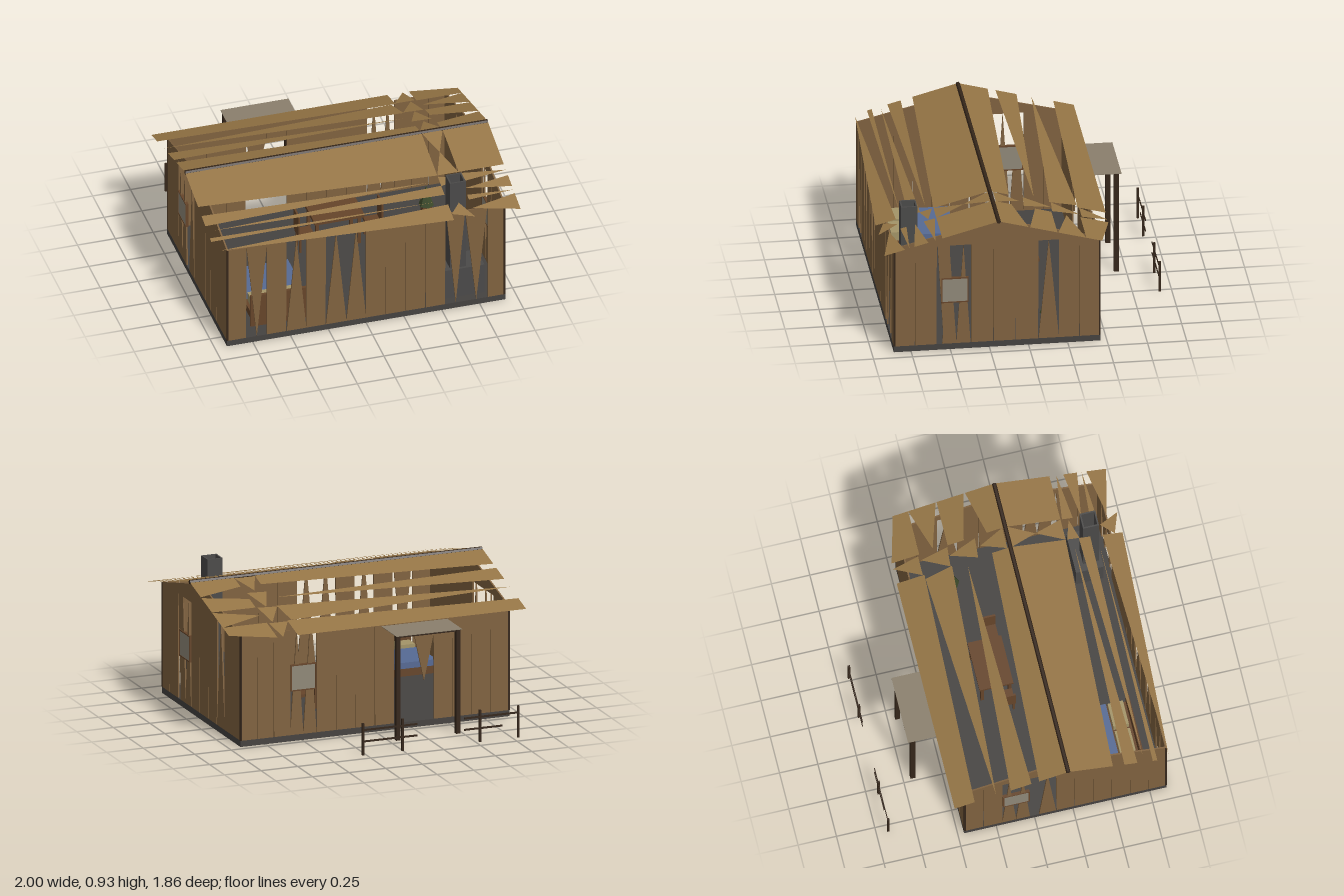
import * as THREE from 'three';

const mat = (color) => new THREE.MeshStandardMaterial({ color, side: THREE.DoubleSide, flatShading: true });
const M = {
  wall: mat(0x80623f), roof: mat(0x957545), dark: mat(0x35261a), stone: mat(0x4b4a49),
  floor: mat(0x454240), glass: mat(0x8f8878), canopy: mat(0x8a7f6c), blue: mat(0x566a94),
  wood: mat(0x66452a), linen: mat(0xa39468), leaf: mat(0x3c4a2a),
};

export function createModel() {
  const root = new THREE.Group();
  const add = (geo, m, name, parent = root) => {
    const mesh = new THREE.Mesh(geo, m);
    mesh.name = name;
    parent.add(mesh);
    return mesh;
  };
  const group = (name) => {
    const g = new THREE.Group();
    g.name = name;
    root.add(g);
    return g;
  };
  // Box given by its limits on each axis
  const box = (name, m, [x0, x1], [y0, y1], [z0, z1], parent) => {
    const g = new THREE.BoxGeometry(x1 - x0, y1 - y0, z1 - z0);
    g.translate((x0 + x1) / 2, (y0 + y1) / 2, (z0 + z1) / 2);
    return add(g, m, name, parent);
  };
  const BASE = 0.04, TOP = 0.73;

  box('foundation', M.floor, [-0.92, 0.92], [0, BASE], [-0.46, 0.86]);

  // Walls: runs of upright boards, with worn boards tapering up or down
  const flat = (pts) => {
    const s = new THREE.Shape(pts.map((p) => new THREE.Vector2(...p)));
    return new THREE.ExtrudeGeometry(s, { depth: 0.01, bevelEnabled: false });
  };
  const buildWall = (name, parts) => {
    const g = group(name);
    for (const [kind, a, b, y0 = BASE, y1 = TOP] of parts) {
      const mid = (a + b) / 2;
      if (kind === 'up') add(flat([[a, y0], [b, y0], [mid, y1]]), M.wall, 'taperedBoard', g);
      else if (kind === 'down') add(flat([[mid, y0], [b, y1], [a, y1]]), M.wall, 'taperedBoard', g);
      else {
        const n = Math.max(1, Math.round((b - a) / 0.13));
        for (let i = 0; i < n; i++) {
          const l = a + ((b - a) * i) / n, r = a + ((b - a) * (i + 1)) / n;
          add(flat([[l, y0], [r - 0.004, y0], [r, y1], [l, y1]]), M.wall, 'board', g);
        }
      }
    }
    return g;
  };
  buildWall('frontWall', [
    ['run', -0.92, -0.79], ['down', -0.79, -0.655], ['run', -0.655, -0.525], ['up', -0.525, -0.395],
    ['run', -0.395, -0.265], ['up', -0.265, -0.13], ['up', -0.13, 0], ['run', 0, 0.525],
    ['down', 0.53, 0.655], ['down', 0.655, 0.8], ['run', 0.805, 0.92],
  ]).position.z = 0.85;
  buildWall('backWall', [
    ['run', -0.92, -0.4], ['run', -0.4, -0.13, 0.6, TOP], ['down', -0.4, -0.27, 0.3, 0.6],
    ['run', -0.13, 0.4], ['up', 0.4, 0.49], ['up', 0.49, 0.58], ['run', 0.58, 0.92],
  ]).position.z = -0.46;

  // Gable walls are laid out along -z, then turned to face sideways
  const gable = [[-0.86, TOP], [0.46, TOP], [-0.2, 0.895]];
  for (const side of [1, -1]) {
    const g = buildWall(side > 0 ? 'leftGableWall' : 'rightGableWall', side > 0 ? [
      ['run', -0.86, -0.585], ['down', -0.58, -0.5], ['up', -0.55, -0.46], ['up', -0.46, -0.37],
      ['run', -0.365, 0.065], ['up', 0.065, 0.195], ['run', 0.195, 0.46],
    ] : [
      ['run', -0.86, -0.14], ['up', -0.14, -0.03], ['up', 0.03, 0.12], ['up', 0.12, 0.21], ['run', 0.21, 0.46],
    ]);
    add(flat(gable), M.wall, 'gablePeak', g);
    g.rotation.y = Math.PI / 2;
    g.position.x = side > 0 ? 0.91 : -0.92;
  }
  for (const x of [-0.915, 0.915]) for (const z of [-0.455, 0.855])
    box('cornerPost', M.dark, [x - 0.006, x + 0.006], [BASE, TOP], [z - 0.006, z + 0.006]);

  // Windows: a pane with a thin dark frame, centred at the wall
  const addWindow = (x, z, turn) => {
    const g = group('window');
    box('pane', M.glass, [-0.08, 0.08], [-0.08, 0.08], [-0.008, 0.008], g);
    for (const s of [-1, 1]) {
      box('frameRail', M.wood, [-0.085, 0.085], [s * 0.083 - 0.004, s * 0.083 + 0.004], [-0.01, 0.01], g);
      box('frameStile', M.wood, [s * 0.083 - 0.004, s * 0.083 + 0.004], [-0.085, 0.085], [-0.01, 0.01], g);
    }
    g.position.set(x, 0.415, z);
    g.rotation.y = turn;
  };
  addWindow(0.915, 0.47, Math.PI / 2);
  addWindow(-0.915, -0.12, Math.PI / 2);
  addWindow(0.49, -0.455, 0);

  // Roof: broken planks as (x, z) outlines laid on the two slopes
  const roof = group('roof');
  const roofY = (z) => 0.92 - 0.27 * Math.abs(z - 0.2);
  const planks = [
    [-1, -0.54, 0.56, -0.54, 0.56, -0.36, -1, -0.41],
    [-1, -0.27, 0.53, -0.36, 0.56, -0.18],
    [-1, -0.175, 0.53, -0.085, -1, -0.04],
    [-1, 0.01, 0.56, 0.08, 0.56, 0.19, -1, 0.19],
    [-1, 0.21, 0.56, 0.21, 0.56, 0.56, -1, 0.49],
    [-1, 0.565, 0.5, 0.605, -1, 0.65],
    [-0.96, 0.695, 0.56, 0.645, 0.56, 0.72],
    [-1, 0.75, 0.5, 0.765, -1, 0.78],
    [-0.97, 0.86, 0.56, 0.8, 0.56, 0.93],
    [0.7, -0.54, 1, -0.46, 1, -0.36, 0.7, -0.36],
    [0.71, -0.27, 1, -0.36, 1, -0.18],
    [0.7, -0.175, 1, -0.175, 1, 0, 0.7, -0.07],
    [0.7, 0.08, 1, 0.01, 1, 0.19, 0.7, 0.19],
    [0.7, 0.21, 1, 0.21, 1, 0.56, 0.7, 0.56],
  ];
  const chips = [
    [0.7, 0.57, 1, 0.605, 0.7, 0.64], [0.7, 0.695, 1, 0.65, 1, 0.74],
    [0.7, 0.75, 1, 0.77, 0.7, 0.79], [0.7, 0.86, 1, 0.8, 1, 0.93],
    [0.56, -0.37, 0.66, -0.54, 0.69, -0.37], [0.56, -0.19, 0.66, -0.36, 0.69, -0.18],
    [0.56, -0.01, 0.63, -0.18, 0.69, 0], [0.56, 0.18, 0.63, 0.02, 0.7, 0.18],
    [0.56, 0.21, 0.7, 0.21, 0.63, 0.38], [0.56, 0.56, 0.63, 0.38, 0.7, 0.56],
    [0.56, 0.57, 0.69, 0.61, 0.56, 0.65], [0.56, 0.88, 0.63, 0.8, 0.7, 0.93],
  ];
  for (const p of [...planks, ...chips]) {
    const pos = [], idx = [], n = p.length / 2;
    for (let i = 0; i < n; i++) pos.push(p[2 * i], roofY(p[2 * i + 1]), p[2 * i + 1]);
    for (let i = 1; i < n - 1; i++) idx.push(0, i + 1, i);
    const g = new THREE.BufferGeometry();
    g.setAttribute('position', new THREE.Float32BufferAttribute(pos, 3));
    g.setIndex(idx);
    g.computeVertexNormals();
    add(g, M.roof, 'roofPlank', roof);
  }
  const ridge = new THREE.CylinderGeometry(0.014, 0.014, 2, 6);
  ridge.rotateZ(Math.PI / 2);
  ridge.translate(0, 0.917, 0.2);
  add(ridge, M.dark, 'ridgeBeam', roof);

  // Chimney: hollow stack over a hearth
  const square = (C, r) => new C([[-r, -r], [r, -r], [r, r], [-r, r]].map((p) => new THREE.Vector2(...p)));
  const stack = square(THREE.Shape, 0.052);
  stack.holes.push(square(THREE.Path, 0.042));
  const flue = new THREE.ExtrudeGeometry(stack, { depth: 0.86, bevelEnabled: false });
  flue.rotateX(-Math.PI / 2);
  flue.translate(0.63, BASE, 0.73);
  add(flue, M.stone, 'chimney');
  box('hearth', M.stone, [0.53, 0.8], [BASE, 0.25], [0.62, 0.8]);

  // Porch over the back door
  const porch = group('porch');
  box('canopy', M.canopy, [-0.49, -0.04], [0.69, 0.693], [-0.72, -0.47], porch);
  box('canopyBeam', M.dark, [-0.47, -0.06], [0.675, 0.69], [-0.7, -0.68], porch);
  for (const x of [-0.47, -0.06])
    box('porchPost', M.dark, [x - 0.014, x + 0.014], [0, 0.69], [-0.703, -0.672], porch);

  // Broken fence: posts and rails
  const fence = group('fence');
  for (const x of [-0.79, -0.53, 0, 0.27])
    box('fencePost', M.dark, [x - 0.007, x + 0.007], [0, 0.21], [-0.93, -0.915], fence);
  for (const [a, b, y] of [[-0.79, -0.42, 0.165], [-0.68, -0.42, 0.09], [-0.1, 0.27, 0.165], [-0.1, 0.27, 0.09]])
    box('fenceRail', M.dark, [a, b], [y - 0.006, y + 0.006], [-0.925, -0.92], fence);

  // Furniture seen through the gaps
  const room = group('furniture');
  box('bedFrame', M.wood, [-0.73, -0.35], [0.1, 0.15], [0.3, 0.73], room);
  box('blanket', M.blue, [-0.73, -0.35], [0.15, 0.19], [0.3, 0.6], room);
  for (const x of [-0.71, -0.52]) box('pillow', M.linen, [x, x + 0.16], [0.15, 0.21], [0.61, 0.71], room);
  box('headboard', M.wood, [-0.73, -0.35], [BASE, 0.27], [0.73, 0.75], room);
  box('tableTop', M.wood, [-0.1, 0.23], [0.24, 0.26], [-0.16, 0.06], room);
  for (const x of [-0.08, 0.2]) for (const z of [-0.14, 0.04])
    box('tableLeg', M.wood, [x - 0.01, x + 0.01], [BASE, 0.24], [z - 0.01, z + 0.01], room);
  for (const x of [-0.15, 0.3]) {
    box('chairSeat', M.wood, [x - 0.05, x + 0.05], [0.15, 0.17], [-0.05, 0.05], room);
    for (const dx of [-0.04, 0.04]) for (const dz of [-0.04, 0.04])
      box('chairLeg', M.wood, [x + dx - 0.006, x + dx + 0.006], [BASE, 0.15], [dz - 0.006, dz + 0.006], room);
    const back = x + Math.sign(x) * 0.05;
    box('chairBack', M.wood, [back - 0.006, back + 0.006], [0.17, 0.32], [-0.05, 0.05], room);
  }
  const plant = new THREE.ConeGeometry(0.05, 0.14, 6);
  plant.translate(0.7, 0.18, -0.15);
  add(plant, M.leaf, 'plant', room);
  box('plantPot', M.wood, [0.67, 0.73], [BASE, 0.11], [-0.18, -0.12], room);

  return root;
}
